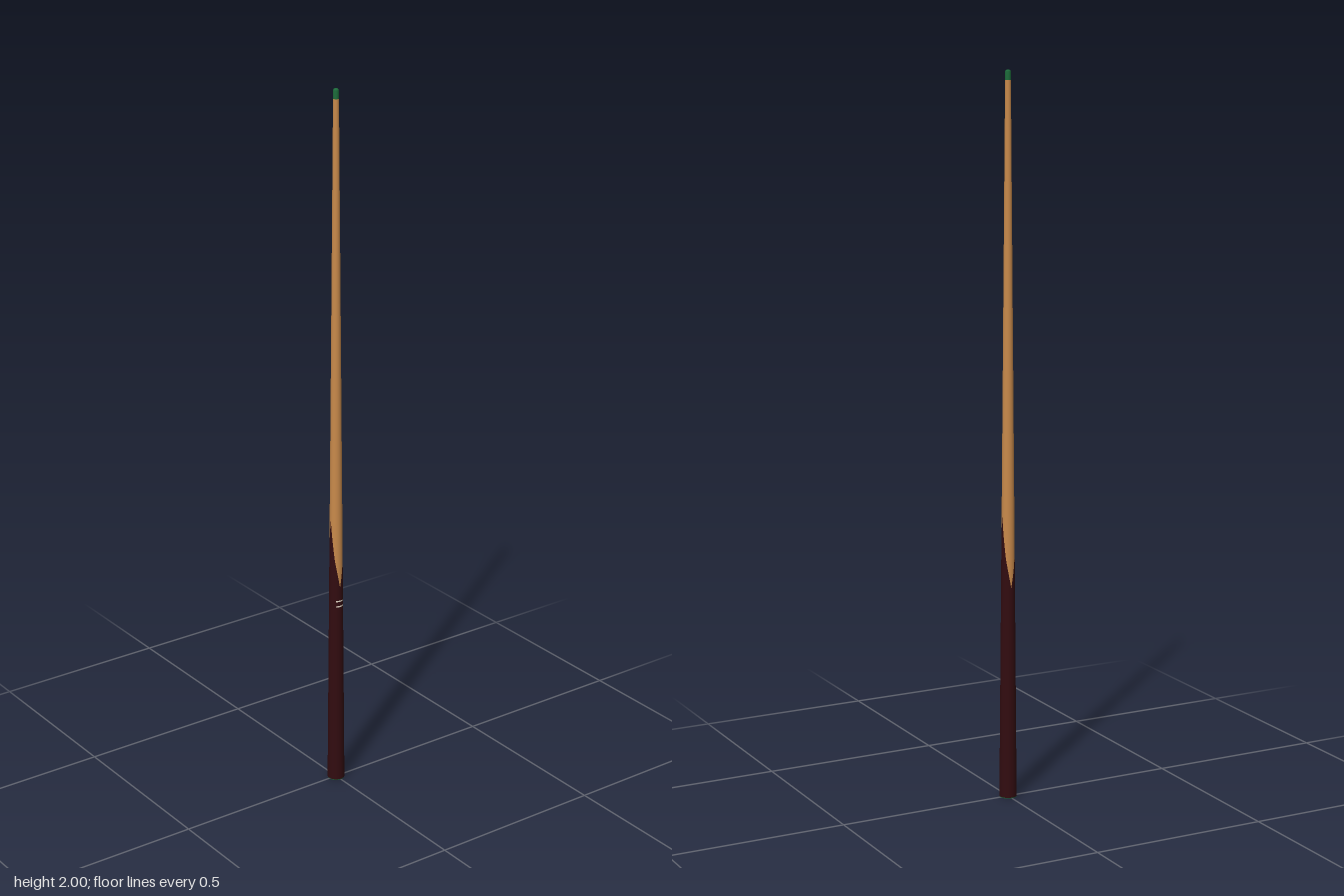
import * as THREE from 'three';

const SIDES = 48;
const TIP_Y = 1.973;
// Straight taper from butt to tip
const radius = (y) => 0.024 - 0.00825 * y;

// Height of the splice line: long points on front and back, valleys at the sides
function spliceHeight(x, z) {
  const t = Math.atan2(Math.abs(z), Math.abs(x)) / (Math.PI / 2);
  return t < 0.5 ? 0.6 + 0.16 * t : 0.68 + 0.24 * (t - 0.5);
}

// Tapered tube whose two rims follow the given height functions
function taperedTube(bottom, top, material, name) {
  const geo = new THREE.CylinderGeometry(1, 1, 1, SIDES, 1, true);
  const p = geo.attributes.position;
  for (let i = 0; i < p.count; i++) {
    const x = p.getX(i), z = p.getZ(i);
    const y = p.getY(i) > 0 ? top(x, z) : bottom(x, z);
    p.setXYZ(i, x * radius(y), y, z * radius(y));
  }
  const mesh = new THREE.Mesh(geo, material);
  mesh.name = name;
  return mesh;
}

export function createModel() {
  const paint = (name, color) => {
    const m = new THREE.MeshStandardMaterial({ color });
    m.name = name;
    return m;
  };
  const ash = paint('pale wood', 0xc98a4b);
  const ebony = paint('dark wood', 0x320c10);
  const green = paint('green', 0x1c6b3a);
  const ivory = paint('ivory', 0xe6dccb);

  const cue = new THREE.Group();
  cue.name = 'cue';

  // Butt and shaft meet along the pointed splice
  cue.add(taperedTube(() => 0.002, spliceHeight, ebony, 'butt'));
  cue.add(taperedTube(spliceHeight, () => TIP_Y, ash, 'shaft'));

  // Pad under the butt
  const pad = new THREE.Mesh(new THREE.CylinderGeometry(0.024, 0.0235, 0.002, SIDES), green);
  pad.position.y = 0.001;
  pad.name = 'buttPad';
  cue.add(pad);

  // Tip with a slightly rounded crown
  const profile = [
    [radius(TIP_Y), TIP_Y], [0.0076, 1.995], [0.0065, 1.998], [0.004, 1.9995], [0, 2],
  ].map(([x, y]) => new THREE.Vector2(x, y));
  const tip = new THREE.Mesh(new THREE.LatheGeometry(profile, SIDES), green);
  tip.name = 'tip';
  cue.add(tip);

  // Thin inlaid bars on one side of the butt
  const arc = 1.2;
  for (const y of [0.543, 0.559]) {
    const h = 0.004;
    const bar = new THREE.Mesh(
      new THREE.CylinderGeometry(radius(y + h / 2) + 0.0004, radius(y - h / 2) + 0.0004, h,
        12, 1, true, Math.PI / 2 - arc / 2, arc), ivory);
    bar.position.y = y;
    bar.name = 'inlayBar';
    cue.add(bar);
  }
  return cue;
}
